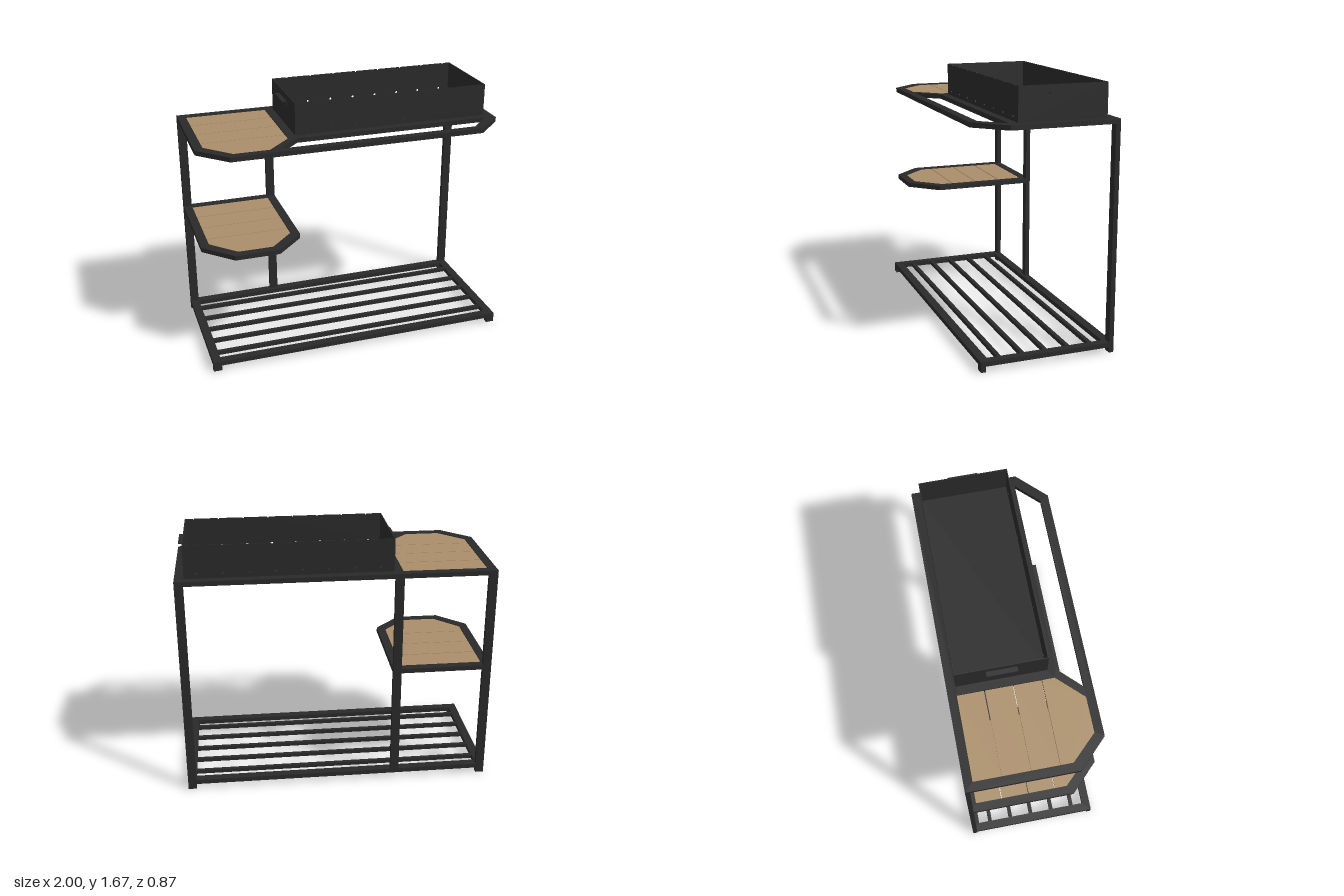
import * as THREE from 'three';

export function createModel() {
  const model = new THREE.Group();
  const steel = new THREE.MeshStandardMaterial({ color: 0x292929 });
  steel.name = 'dark steel';
  const wood = new THREE.MeshStandardMaterial({ color: 0xaa8e69 });
  wood.name = 'oak';

  const add = (name, geometry, material = steel) => {
    const mesh = new THREE.Mesh(geometry, material);
    mesh.name = name;
    model.add(mesh);
    return mesh;
  };
  // Box given by its low and high corners
  const box = (name, x0, x1, y0, y1, z0, z1) =>
    add(name, new THREE.BoxGeometry(x1 - x0, y1 - y0, z1 - z0))
      .position.set((x0 + x1) / 2, (y0 + y1) / 2, (z0 + z1) / 2);
  // Flat slab from an x,z outline with openings, wound counter-clockwise
  const slab = (name, outline, openings, y0, y1, material) => {
    const points = (list) => list.map(([x, z]) => new THREE.Vector2(x, -z)).reverse();
    const shape = new THREE.Shape(points(outline));
    shape.holes = openings.map((o) => new THREE.Path(points(o).reverse()));
    const geometry = new THREE.ExtrudeGeometry(shape, { depth: y1 - y0, bevelEnabled: false });
    add(name, geometry.rotateX(-Math.PI / 2).translate(0, y0, 0), material);
  };
  const rect = (x0, x1, z0, z1) => [[x0, z0], [x1, z0], [x1, z1], [x0, z1]];

  const B = 0.435; // half depth
  const T = 0.055; // tube width

  // Bottom rack
  slab('baseFrame', rect(-1, 1, -B, B), [rect(-1 + T, 1 - T, -B + T, B - T)], 0.035, 0.065);
  for (let i = -2; i <= 2; i++) {
    const z = i * 0.15;
    box('baseSlat', -1 + T, 1 - T, 0.038, 0.062, z - 0.013, z + 0.013);
  }
  for (const x of [-1, 1 - T]) {
    box('frontFoot', x, x + T, 0, 0.035, B - 0.03, B);
    box('rearLeg', x, x + T, 0, 1.43, -B, -B + 0.03);
  }
  box('middleLeg', -0.41, -0.355, 0.065, 1.43, -B, -B + 0.03);

  // Top frame with board opening, firebox opening and front rail gap
  const boardOpening = [[-0.945, -0.38], [-0.41, -0.38], [-0.41, 0.22],
    [-0.565, 0.38], [-0.79, 0.38], [-0.945, 0.22]];
  slab('topFrame',
    [[-1, -B], [1, -B], [1, 0.255], [0.82, B], [-0.82, B], [-1, 0.255]],
    [boardOpening, rect(-0.35, 0.936, -0.374, 0.18),
      [[-0.357, 0.237], [0.93, 0.237], [0.79, 0.38], [-0.5, 0.38]]],
    1.43, 1.46);

  // Middle shelf frame
  slab('shelfFrame',
    [[-1, -B], [-0.355, -B], [-0.355, 0.255], [-0.535, B], [-0.82, B], [-1, 0.255]],
    [boardOpening], 0.78, 0.81);

  // Wooden boards for both levels, the front one with cut corners
  for (const y of [0.785, 1.435]) {
    for (const [z0, z1] of [[-0.38, -0.214], [-0.208, -0.037], [-0.032, 0.138]]) {
      slab('shelfBoard', rect(-0.944, -0.411, z0, z1), [], y, y + 0.021, wood);
    }
    slab('frontShelfBoard', [[-0.944, 0.143], [-0.411, 0.143], ...boardOpening.slice(2)],
      [], y, y + 0.021, wood);
  }

  // Firebox: floor, end walls, long walls with air holes and skewer notches
  const x0 = -0.355, x1 = 0.94, z0 = -0.378, z1 = 0.187, y0 = 1.455, y1 = 1.67, t = 0.006;
  box('fireboxFloor', x0, x1, y0, y0 + t, z0, z1);
  box('fireboxEnd', x0, x0 + t, y0, y1, z0, z1);
  box('fireboxEnd', x1 - t, x1, y0, y1, z0, z1);

  const wall = new THREE.Shape();
  wall.moveTo(x0, y0).lineTo(x1, y0).lineTo(x1, y1);
  for (let i = 7; i >= 0; i--) {
    const x = -0.25 + i * 0.162;
    wall.lineTo(x + 0.005, y1).lineTo(x + 0.004, y1 - 0.006)
      .lineTo(x - 0.004, y1 - 0.006).lineTo(x - 0.005, y1);
  }
  wall.lineTo(x0, y1);
  for (let i = 0; i < 8; i++) {
    wall.holes.push(new THREE.Path().absarc(-0.27 + i * 0.162, 1.491, 0.008, 0, Math.PI * 2, true));
  }
  for (const z of [z0, z1 - t]) {
    add('fireboxSide', new THREE.ExtrudeGeometry(wall, { depth: t, bevelEnabled: false, curveSegments: 6 }))
      .position.z = z;
  }

  // Folded handles on the two ends
  for (const [x, s] of [[x0, -1], [x1, 1]]) {
    const span = (a, b) => [Math.min(x + s * a, x + s * b), Math.max(x + s * a, x + s * b)];
    box('handleTab', ...span(0, 0.031), 1.622, 1.628, -0.19, 0);
    box('handlePlate', ...span(0, 0.004), 1.6, 1.622, -0.19, 0);
  }
  return model;
}
